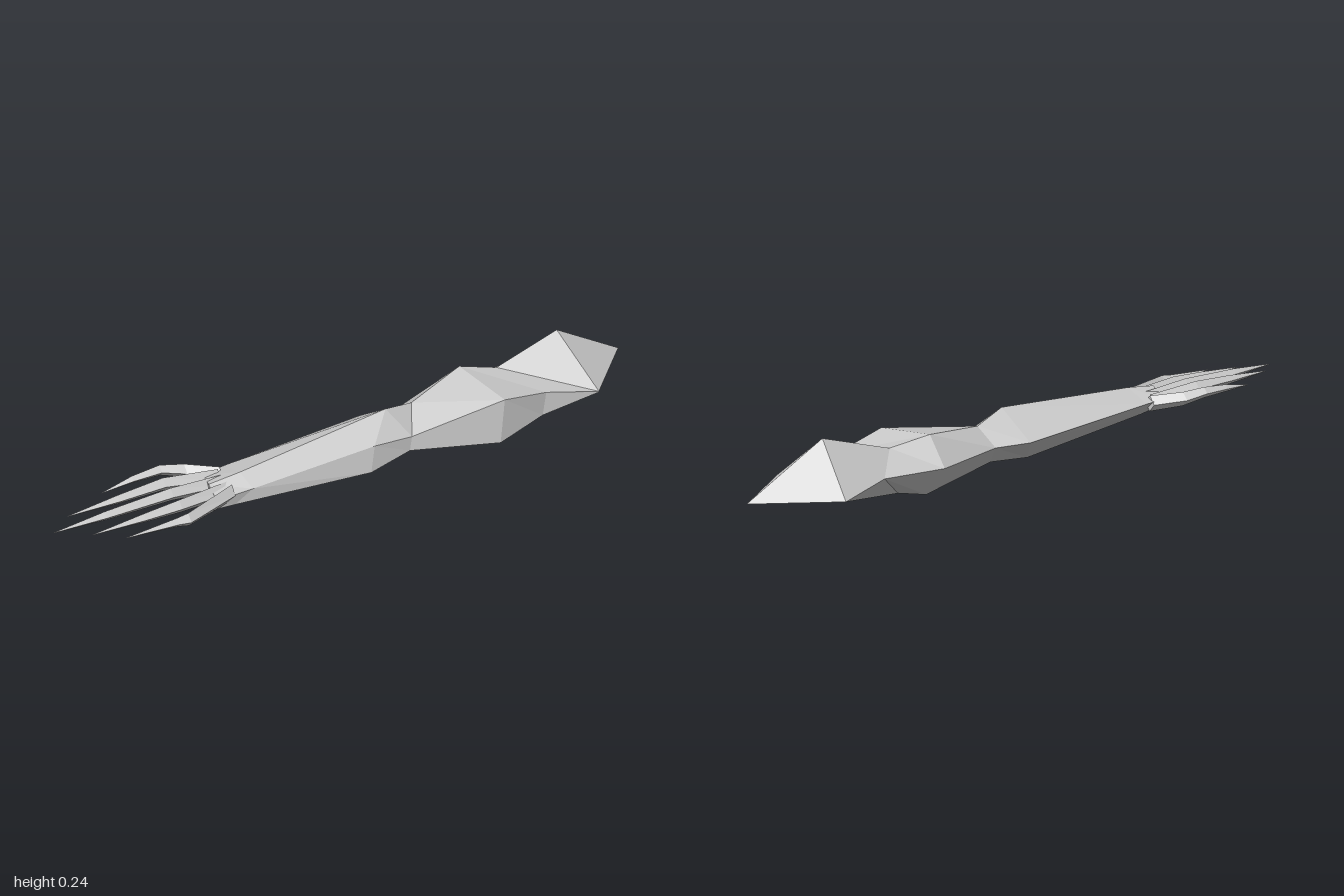
import * as THREE from 'three';

// Flat-shaded skin over cross-sections listed from -x to +x,
// each running top -> front -> bottom -> back.
function loft(name, rings, material) {
  const pos = [];
  const tri = (a, b, c) => pos.push(...a, ...b, ...c);
  const n = rings[0].length;
  for (let i = 0; i < rings.length - 1; i++) {
    for (let j = 0; j < n; j++) {
      const k = (j + 1) % n;
      tri(rings[i][j], rings[i][k], rings[i + 1][k]);
      tri(rings[i][j], rings[i + 1][k], rings[i + 1][j]);
    }
  }
  const centre = (r) => [0, 1, 2].map((a) => r.reduce((s, p) => s + p[a], 0) / n);
  const first = rings[0], last = rings[rings.length - 1];
  for (let j = 0; j < n; j++) {
    const k = (j + 1) % n;
    tri(centre(first), first[k], first[j]);
    tri(centre(last), last[j], last[k]);
  }
  const geo = new THREE.BufferGeometry();
  geo.setAttribute('position', new THREE.Float32BufferAttribute(pos, 3));
  geo.computeVertexNormals();
  const mesh = new THREE.Mesh(geo, material);
  mesh.name = name;
  return mesh;
}

// Four-sided section: centre, half height, half width
const diamond = ([x, y, z, h, w]) => [[x, y + h, z], [x, y, z + w], [x, y - h, z], [x, y, z - w]];

export function createModel() {
  const group = new THREE.Group();
  group.name = 'lowPolyArm';
  const skin = new THREE.MeshStandardMaterial({ color: 0xcccccc, flatShading: true });
  skin.name = 'palegrey';

  // Forearm: palm, wrist, muscle bulge, elbow
  const elbow = [[0.2, 0.155, 0.01], [0.14, 0.11, 0.115], [0.13, 0.065, 0.12], [0.16, 0.035, 0], [0.18, 0.1, -0.055]];
  group.add(loft('forearm', [
    [[-0.52, 0.128, 0.06], [-0.52, 0.1, 0.11], [-0.52, 0.07, 0.11], [-0.52, 0.068, 0.03], [-0.5, 0.108, -0.02]],
    [[-0.42, 0.14, 0.065], [-0.4, 0.1, 0.108], [-0.46, 0.062, 0.105], [-0.45, 0.055, 0.03], [-0.42, 0.11, -0.03]],
    [[0.09, 0.184, 0.04], [0, 0.13, 0.13], [-0.02, 0.05, 0.145], [0, 0.006, 0.03], [0.07, 0.1, -0.08]],
    elbow,
  ], skin));

  // Upper arm
  const armpit = [[0.53, 0.165, -0.02], [0.62, 0.125, 0.128], [0.61, 0.045, 0.13], [0.5, 0.016, -0.012], [0.6, 0.11, -0.1]];
  group.add(loft('upperArm', [
    elbow,
    [[0.41, 0.19, -0.05], [0.45, 0.163, 0.15], [0.43, 0.022, 0.167], [0.42, 0.002, -0.04], [0.4, 0.1, -0.11]],
    armpit,
  ], skin));

  // Shoulder, closing to a point
  const tip = [1, 0.099, -0.015];
  group.add(loft('shoulder', [
    armpit,
    [[0.75, 0.24, -0.015], [0.8, 0.09, 0.16], [0.8, 0.086, 0.159], [0.78, 0.062, -0.014], [0.77, 0.1, -0.166]],
    [tip, tip, tip, tip, tip],
  ], skin));

  // Fingers: tip x/y/z, knuckle y/z, base z
  const fingers = [
    ['indexFinger', -0.935, 0.116, -0.012, 0.12, -0.018, 0.0],
    ['middleFinger', -1, 0.114, 0.04, 0.115, 0.034, 0.032],
    ['ringFinger', -0.905, 0.107, 0.095, 0.107, 0.09, 0.07],
    ['littleFinger', -0.825, 0.1, 0.147, 0.096, 0.148, 0.092],
  ];
  for (const [name, tx, ty, tz, ky, kz, bz] of fingers) {
    group.add(loft(name, [
      [tx, ty, tz, 0.001, 0.001],
      [tx + 0.16, (ty + ky) / 2, (tz + kz) / 2, 0.015, 0.014],
      [-0.63, ky, kz, 0.022, 0.019],
      [-0.46, 0.098, bz, 0.028, 0.02],
    ].map(diamond), skin));
  }

  // Thumb, bowed outward
  group.add(loft('thumb', [
    [-0.8, 0.112, -0.076, 0.001, 0.001],
    [-0.7, 0.122, -0.082, 0.012, 0.012],
    [-0.61, 0.125, -0.082, 0.018, 0.017],
    [-0.54, 0.112, -0.062, 0.023, 0.022],
    [-0.45, 0.1, -0.008, 0.026, 0.022],
  ].map(diamond), skin));

  return group;
}
